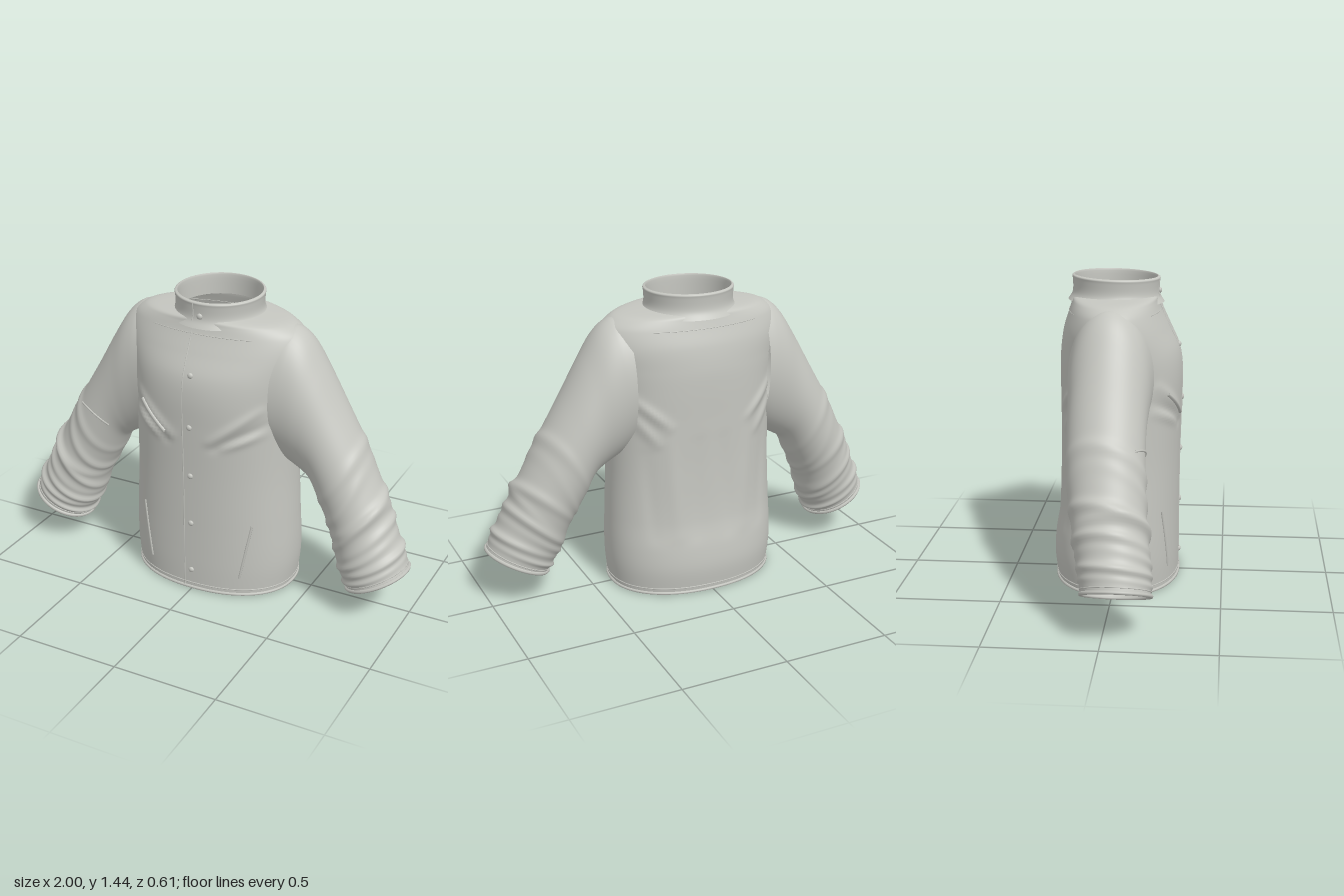
import * as THREE from 'three';

const fabric = new THREE.MeshStandardMaterial({ color: 0xc5c6c0, side: THREE.DoubleSide });
fabric.name = 'grey fabric';
const V = (x, y, z) => new THREE.Vector3(x, y, z);
const TAU = Math.PI * 2;

// Smooth interpolation of table rows [key, ...values]
function sample(table, k) {
  let i = 0;
  while (i < table.length - 2 && k > table[i + 1][0]) i++;
  const a = table[i], b = table[i + 1], h = b[0] - a[0];
  const p = table[Math.max(i - 1, 0)], n = table[Math.min(i + 2, table.length - 1)];
  const s = Math.min(1, Math.max(0, (k - a[0]) / h)), s2 = s * s, s3 = s2 * s;
  return a.slice(1).map((av, j) => {
    const bv = b[j + 1];
    const m0 = (bv - p[j + 1]) / (b[0] - p[0]) * h, m1 = (n[j + 1] - av) / (n[0] - a[0]) * h;
    return (2 * s3 - 3 * s2 + 1) * av + (s3 - 2 * s2 + s) * m0 + (3 * s2 - 2 * s3) * bv + (s3 - s2) * m1;
  });
}

// Closed rings joined into a skin; drop(point) removes hidden faces
function loft(point, nu, nv, flip = false, drop = () => false) {
  const pos = [], hidden = [], index = [];
  for (let j = 0; j <= nv; j++) for (let i = 0; i < nu; i++) {
    const p = point(i / nu * TAU, j / nv);
    pos.push(p.x, p.y, p.z);
    hidden.push(drop(p));
  }
  const tri = (a, b, c) => {
    if (!(hidden[a] && hidden[b] && hidden[c])) index.push(...(flip ? [a, c, b] : [a, b, c]));
  };
  for (let j = 0; j < nv; j++) for (let i = 0; i < nu; i++) {
    const k = (i + 1) % nu, a = j * nu + i, b = j * nu + k;
    tri(a, b, b + nu);
    tri(a, b + nu, a + nu);
  }
  const g = new THREE.BufferGeometry();
  g.setAttribute('position', new THREE.Float32BufferAttribute(pos, 3));
  g.setIndex(index);
  g.computeVertexNormals();
  return g;
}

// Torso: height, half width, front depth, back depth, roundness
const TORSO = [
  [0, .40, .288, .288, 2.2], [.12, .413, .29, .302, 2.2], [.22, .415, .29, .296, 2.2],
  [.36, .41, .29, .275, 2.2], [.6, .40, .292, .266, 2.2], [.85, .40, .298, .266, 2.2],
  [1.0, .41, .30, .268, 2.1], [1.1, .43, .285, .265, 2], [1.2, .445, .24, .25, 2],
  [1.28, .425, .203, .225, 2], [1.32, .375, .19, .213, 2], [1.335, .32, .188, .21, 2],
  [1.345, .2, .185, .207, 2],
];
// Folds on |x|: x1, y1, x2, y2, height, width
const FRONT_FOLDS = [[.31, .965, .1, .80, .014, .022], [.33, .90, .12, .77, -.01, .02], [.32, .85, .16, .78, .012, .02]];
const BACK_FOLDS = [[.36, .98, .2, .84, .014, .022], [.36, .9, .25, .76, .012, .022],
  [.2, .8, .17, .3, .007, .035], [.06, .75, .08, .3, -.005, .035], [.29, .7, .27, .3, -.006, .03]];

function foldHeight(x, y, front) {
  let sum = 0;
  for (const [x1, y1, x2, y2, h, w] of front ? FRONT_FOLDS : BACK_FOLDS) {
    const dx = x2 - x1, dy = y2 - y1, l2 = dx * dx + dy * dy;
    const s = Math.min(1, Math.max(0, ((x - x1) * dx + (y - y1) * dy) / l2));
    const d = Math.hypot(x - x1 - s * dx, y - y1 - s * dy);
    sum += h * Math.sin(Math.PI * (.15 + .7 * s)) * Math.exp(-d * d / (w * w));
  }
  return sum;
}

function torsoPoint(a, y) {
  const [w, f, b, p] = sample(TORSO, y);
  const s = Math.sin(a), c = Math.cos(a), q = 2 / p;
  const x = w * Math.sign(s) * Math.abs(s) ** q;
  const z = (c > 0 ? f : b) * Math.sign(c) * Math.abs(c) ** q;
  return V(x, y, z + Math.sign(c) * Math.min(1, Math.abs(c) * 3) * foldHeight(Math.abs(x), y, c > 0));
}

// Point on the torso front (side 1) or back (side -1)
function onTorso(x, y, side = 1) {
  const [w, f, b, p] = sample(TORSO, y);
  const z = (side > 0 ? f : b) * Math.max(0, 1 - Math.abs(x / w) ** p) ** (1 / p);
  return V(x, y, side * (z + foldHeight(Math.abs(x), y, side > 0)));
}

function insideTorso(p) {
  if (p.y > 1.33) return false;
  const [w, f, b, e] = sample(TORSO, p.y);
  return Math.abs(p.x / w) ** e + Math.abs(p.z / (p.z > 0 ? f : b)) ** e < .8;
}

// Sleeve: station, outer x y, inner x y, front z, back z
const SLEEVE = [
  [0, .34, 1.325, .33, .70, .185, -.20], [1, .40, 1.312, .365, .675, .18, -.195],
  [2, .46, 1.26, .41, .65, .175, -.19], [3, .53, 1.15, .455, .625, .168, -.183],
  [4, .62, .99, .50, .59, .165, -.18], [5, .73, .80, .55, .49, .17, -.172],
  [6, .83, .61, .605, .385, .18, -.15], [7, .90, .46, .645, .27, .195, -.125],
  [8, .96, .34, .685, .18, .205, -.105], [9, .995, .255, .715, .12, .21, -.09],
];
// Sleeve creases: station, tilt, height, facing angle
const CREASES = [[4.9, .2, .009, .5], [5.55, -.25, .009, 2.2], [6.15, .2, .014, .3], [6.6, -.2, .013, 1.2],
  [7.0, .15, .014, 5.6], [7.4, -.15, .013, 2.5], [7.85, .12, .014, .4], [8.35, -.1, .012, 3]];

function sleevePoint(a, t, side) {
  const [ox, oy, ix, iy, f, b] = sample(SLEEVE, t);
  let lift = 0;
  for (const [k, tilt, h, face] of CREASES) {
    const d = (t - k - tilt * Math.sin(a + face)) / .15;
    lift += h * (.6 + .4 * Math.cos(a - face)) * Math.exp(-d * d);
  }
  const r = Math.cos(a) * (.5 + lift / .3);
  return V(side * ((ox + ix) / 2 + (ox - ix) * r), (oy + iy) / 2 + (oy - iy) * r,
    (f + b) / 2 + Math.sin(a) * ((f - b) / 2 + lift));
}

function insideSleeve(p) {
  for (let t = .4; t < 5; t += .2) {
    const [ox, oy, ix, iy, f, b] = sample(SLEEVE, t);
    const ux = (ox - ix) / 2, uy = (oy - iy) / 2, r = Math.hypot(ux, uy);
    const dx = Math.abs(p.x) - (ox + ix) / 2, dy = p.y - (oy + iy) / 2;
    const along = (dx * ux + dy * uy) / r, off = (dx * uy - dy * ux) / r;
    if (Math.abs(off) < .025 && (along / r) ** 2 + ((p.z - (f + b) / 2) / ((f - b) / 2)) ** 2 < .8) return true;
  }
  return false;
}

// Collar: step, half width, half depth, height; up the outside, over the rim, down the inside
const COLLAR = [[0, .235, .222, 1.315], [1, .212, .205, 1.342], [2, .205, .2, 1.37], [3, .207, .202, 1.41],
  [4, .209, .204, 1.424], [5, .203, .198, 1.429], [6, .195, .19, 1.422], [7, .194, .189, 1.33]];
function collarPoint(a, v) {
  const [w, d, y] = sample(COLLAR, v * 7);
  const z = Math.cos(a) * d;
  return V(Math.sin(a) * w, y - z * .03, z - .011);
}

export function createModel() {
  const jacket = new THREE.Group();
  jacket.name = 'jacket';
  const add = (name, geometry) => {
    const m = new THREE.Mesh(geometry, fabric);
    m.name = name;
    jacket.add(m);
    return m;
  };
  const tube = (name, pts, r, closed = false) =>
    add(name, new THREE.TubeGeometry(new THREE.CatmullRomCurve3(pts, closed), pts.length * 3, r, 6, closed));
  const steps = (n, fn) => Array.from({ length: n }, (_, i) => fn(i / (n - 1)));
  const ring = fn => Array.from({ length: 32 }, (_, i) => fn(i / 32 * TAU));

  // Body and collar
  add('torso', loft((a, v) => torsoPoint(a, 1.345 * (1 - (1 - v) ** 1.6)), 128, 110, false, insideSleeve));
  add('collar', loft(collarPoint, 64, 28));
  tube('hemRim', ring(a => torsoPoint(a, .008)), .008, true);
  tube('hemSeam', ring(a => torsoPoint(a, .033)), .003, true);

  // Sleeves with cuffs
  for (const side of [1, -1]) {
    const label = side > 0 ? 'left' : 'right';
    add(label + 'Sleeve', loft((a, v) => sleevePoint(a, v * 9, side), 56, 120, side < 0, insideTorso));
    tube(label + 'CuffRim', ring(a => sleevePoint(a, 8.95, side)), .009, true);
    tube(label + 'CuffSeam', ring(a => sleevePoint(a, 8.7, side)), .003, true);
    // Slanted hip pockets
    tube(label + 'HipPocket', steps(10, s => onTorso(side * (.285 - .05 * s), .38 - .28 * s)), .006);
  }

  // Chest and arm pocket welts
  tube('chestPocket', steps(10, s => onTorso(-.27 + .14 * s, .93 - .115 * s)), .009);
  tube('armPocket', steps(10, s => sleevePoint(.86 + 1.23 * s, 4.85 - .85 * s, -1)), .005);

  // Yoke seams and front opening
  for (const side of [1, -1])
    tube(side > 0 ? 'frontYokeSeam' : 'backYokeSeam', steps(12, s => onTorso(-.25 + .5 * s, 1.28, side)), .002);
  tube('frontEdge', steps(24, s => onTorso(-.036, .01 + 1.31 * s)), .003);
  tube('collarEdge', steps(6, s => collarPoint(-.176, (1 + 3 * s) / 7)), .003);

  // Snap buttons
  for (const y of [.105, .36, .61, .86, 1.11, 1.36]) {
    const button = add('button', new THREE.SphereGeometry(.014, 16, 10));
    button.scale.z = .7;
    button.position.copy(y < 1.3 ? onTorso(0, y) : V(0, y, .19));
  }
  return jacket;
}
